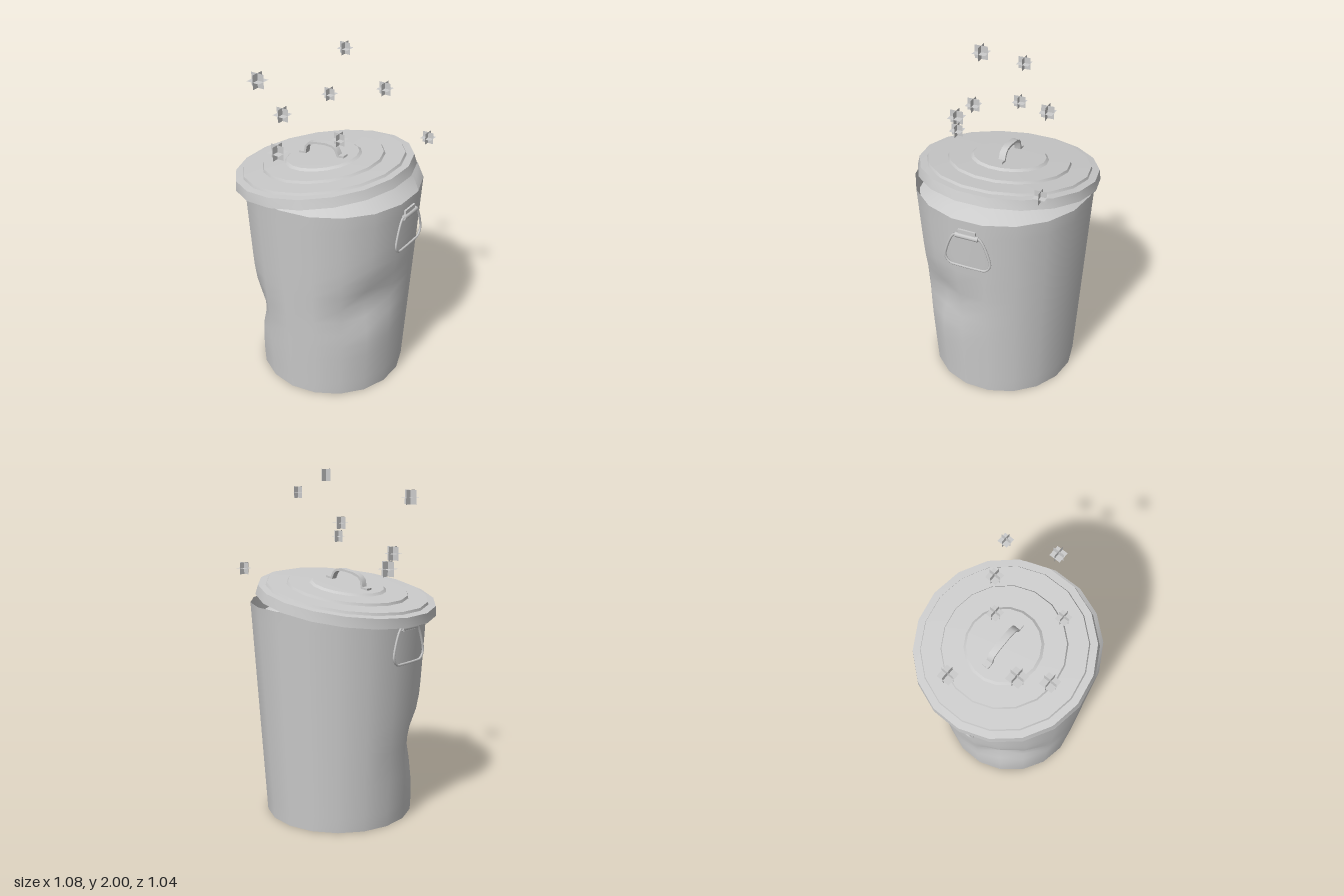
import * as THREE from 'three';
import { mergeVertices, toCreasedNormals } from 'three/addons/utils/BufferGeometryUtils.js';

const SIDES = 18;
const grey = new THREE.MeshStandardMaterial({ color: 0xcccccc });
const greyDouble = new THREE.MeshStandardMaterial({ color: 0xcccccc, side: THREE.DoubleSide });
const v2 = (x, y) => new THREE.Vector2(x, y);

function add(parent, name, geometry, material = grey) {
  const mesh = new THREE.Mesh(geometry, material);
  mesh.name = name;
  parent.add(mesh);
  return mesh;
}

// Tapered wall with two soft dents pushed towards the axis
function wallGeometry() {
  const dents = [
    { x: -0.36, y: 0.42, z: 0.25, depth: 0.075, size: 0.16 },
    { x: 0.41, y: 0.63, z: 0.22, depth: 0.06, size: 0.14 },
  ];
  let g = new THREE.CylinderGeometry(0.51, 0.43, 1.255, SIDES, 14, true);
  g.translate(0, 0.6275, 0);
  g.deleteAttribute('uv');
  g.deleteAttribute('normal');
  g = mergeVertices(g);
  const p = g.attributes.position;
  const v = new THREE.Vector3();
  for (let i = 0; i < p.count; i++) {
    v.fromBufferAttribute(p, i);
    const r = Math.hypot(v.x, v.z);
    let push = 0;
    for (const d of dents) {
      const dist2 = (v.x - d.x) ** 2 + (v.y - d.y) ** 2 + (v.z - d.z) ** 2;
      push += d.depth * Math.exp(-dist2 / (d.size * d.size));
    }
    const k = (r - push) / r;
    p.setXYZ(i, v.x * k, v.y, v.z * k);
  }
  g.computeVertexNormals();
  return g;
}

// Hanging trapezoid ring, in the plane x = 0
function ringGeometry() {
  const half = [[0.06, 1.168], [0.085, 1.15], [0.13, 1.035], [0.132, 1.0], [0.105, 0.966], [0.06, 0.962]];
  const pts = [
    ...half.map(([z, y]) => new THREE.Vector3(0, y, z)),
    ...half.slice().reverse().map(([z, y]) => new THREE.Vector3(0, y, -z)),
  ];
  return new THREE.TubeGeometry(new THREE.CatmullRomCurve3(pts, true, 'centripetal'), 40, 0.007, 6, true);
}

// Flat strap bent into an arch with a foot at each end
function strapGeometry() {
  const outer = [[0.155, 0.114], [0.12, 0.114], [0.108, 0.15], [0.085, 0.17], [0.045, 0.18]];
  const inner = [[0.03, 0.168], [0.078, 0.159], [0.096, 0.143], [0.11, 0.1], [0.155, 0.1]];
  const right = [...inner, ...outer];
  const shape = new THREE.Shape();
  [...inner.map(([x, y]) => v2(x, y)), ...outer.map(([x, y]) => v2(x, y)),
    ...outer.slice().reverse().map(([x, y]) => v2(-x, y)),
    ...inner.slice().reverse().map(([x, y]) => v2(-x, y))]
    .forEach((q, i) => (i ? shape.lineTo(q.x, q.y) : shape.moveTo(q.x, q.y)));
  const g = new THREE.ExtrudeGeometry(shape, { depth: 0.038, bevelEnabled: false });
  return g.translate(0, 0, -0.019);
}

export function createModel() {
  const model = new THREE.Group();

  // Can body
  const can = new THREE.Group();
  can.name = 'can';
  can.position.x = 0.017;
  model.add(can);
  add(can, 'wall', wallGeometry(), greyDouble);
  const base = new THREE.CircleGeometry(0.43, SIDES, Math.PI / 2);
  add(can, 'base', base.rotateX(Math.PI / 2), greyDouble);

  // Domed heap filling the can under the lid
  const heap = [v2(0.49, 1.16), v2(0.4, 1.21), v2(0.3, 1.255), v2(0.2, 1.288), v2(0.1, 1.307), v2(0, 1.313)];
  add(can, 'contents', new THREE.LatheGeometry(heap, SIDES), greyDouble);

  // Carrying handles on both sides
  for (const side of [1, -1]) {
    const handle = new THREE.Group();
    handle.name = side > 0 ? 'leftHandle' : 'rightHandle';
    can.add(handle);
    const ring = add(handle, 'ring', ringGeometry());
    ring.position.x = side * 0.505;
    const plate = add(handle, 'bracketPlate', new THREE.BoxGeometry(0.014, 0.055, 0.1));
    plate.position.set(side * 0.503, 1.172, 0);
    const clip = add(handle, 'bracketClip', new THREE.CylinderGeometry(0.015, 0.015, 0.132, 8));
    clip.rotation.x = Math.PI / 2;
    clip.position.set(side * 0.506, 1.162, 0);
  }

  // Tilted lid with stepped rings
  const lid = new THREE.Group();
  lid.name = 'lid';
  lid.position.set(-0.037, 1.256, 0);
  lid.rotation.z = THREE.MathUtils.degToRad(9);
  model.add(lid);
  const profile = [
    v2(0.522, 0), v2(0.512, 0.055), v2(0.47, 0.058), v2(0.464, 0.072), v2(0.352, 0.074),
    v2(0.345, 0.088), v2(0.222, 0.09), v2(0.207, 0.102), v2(0, 0.104),
  ];
  add(lid, 'lidPlate', toCreasedNormals(new THREE.LatheGeometry(profile, SIDES), 0.5), greyDouble);
  add(lid, 'lidHandle', toCreasedNormals(strapGeometry(), 0.9));

  // Floating sparks: three crossed square cards each
  const sparks = [
    [-0.28, 1.84, 0.277, 0.082], [0.017, 1.967, -0.11, 0.066], [0.355, 1.857, 0.024, 0.066],
    [-0.048, 1.705, -0.058, 0.066], [0.195, 1.595, 0.203, 0.066], [-0.404, 1.48, -0.087, 0.082],
    [-0.1, 1.5, 0.355, 0.082], [0.412, 1.442, -0.37, 0.066],
  ];
  for (const [x, y, z, size] of sparks) {
    const spark = new THREE.Group();
    spark.name = 'spark';
    spark.position.set(x, y, z);
    model.add(spark);
    const card = new THREE.PlaneGeometry(size, size);
    add(spark, 'cardFront', card, greyDouble);
    add(spark, 'cardSide', card, greyDouble).rotation.y = Math.PI / 2;
    add(spark, 'cardTop', card, greyDouble).rotation.x = -Math.PI / 2;
  }
  return model;
}
